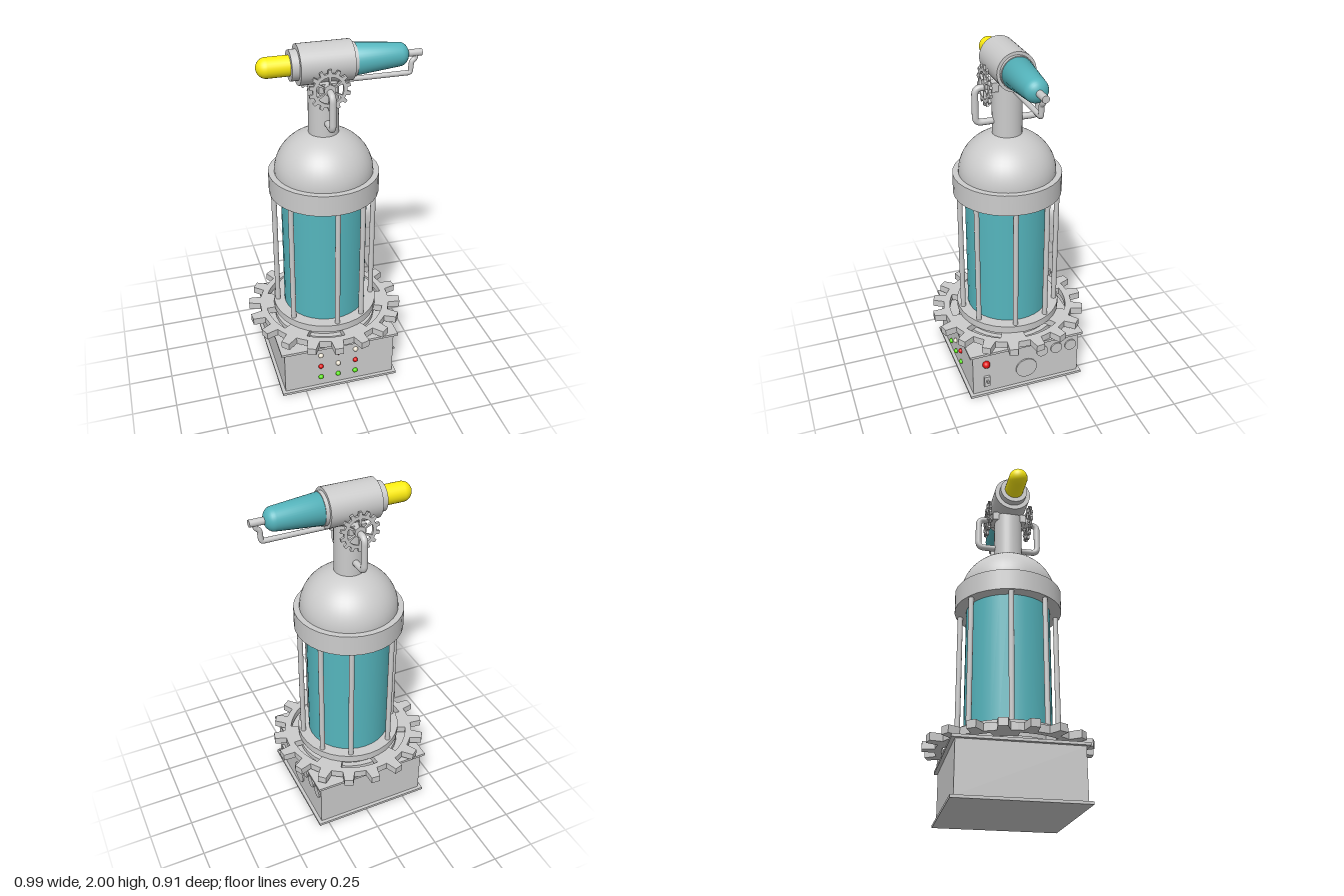
import * as THREE from 'three';

const mat = (color) => new THREE.MeshStandardMaterial({ color });
const GREY = mat(0xcccccc), TEAL = mat(0x55b5bd), YELLOW = mat(0xffee11);
const RED = mat(0xdd1111), GREEN = mat(0x55dd11), CREAM = mat(0xe8e0d0);
const V = (x, y, z) => new THREE.Vector3(x, y, z);

function add(parent, name, geometry, material = GREY, x = 0, y = 0, z = 0) {
  const mesh = new THREE.Mesh(geometry, material);
  mesh.name = name;
  mesh.position.set(x, y, z);
  parent.add(mesh);
  return mesh;
}

// Upright cylinder between two heights
const drum = (parent, name, r, y0, y1, material = GREY, sides = 32) =>
  add(parent, name, new THREE.CylinderGeometry(r, r, y1 - y0, sides), material, 0, (y0 + y1) / 2, 0);

// Cylinder lying along x
const barrel = (parent, name, r, x0, x1) =>
  add(parent, name, new THREE.CylinderGeometry(r, r, x1 - x0, 40).rotateZ(-Math.PI / 2), GREY, (x0 + x1) / 2);

const polar = (r, a) => new THREE.Vector2(r * Math.sin(a), r * Math.cos(a));

// Toothed wheel with ring-segment openings
function gearGeometry({ root, outer, teeth, tip, base, turn = 0, slots, from, span, slotIn, slotOut, depth }) {
  const points = [];
  for (let i = 0; i < teeth; i++) {
    const a = turn - (i / teeth) * Math.PI * 2;
    const wb = base / root / 2, wt = tip / outer / 2, gap = Math.PI / teeth;
    points.push(polar(root, a + wb), polar(outer, a + wt), polar(outer, a - wt), polar(root, a - wb), polar(root, a - gap));
  }
  const shape = new THREE.Shape(points);
  for (let s = 0; s < slots; s++) {
    const a0 = from + (s / slots) * Math.PI * 2;
    const hole = [];
    for (let k = 0; k <= 8; k++) hole.push(polar(slotOut, a0 + (span * k) / 8));
    for (let k = 8; k >= 0; k--) hole.push(polar(slotIn, a0 + (span * k) / 8));
    shape.holes.push(new THREE.Path(hole));
  }
  return new THREE.ExtrudeGeometry(shape, { depth, bevelEnabled: false });
}

// Tube with rounded corners through a list of points
function pipe(parent, name, points, r, bend = 0.03) {
  const path = new THREE.CurvePath();
  let last = points[0];
  for (let i = 1; i < points.length - 1; i++) {
    const p = points[i];
    const a = p.clone().add(points[i - 1].clone().sub(p).setLength(bend));
    const b = p.clone().add(points[i + 1].clone().sub(p).setLength(bend));
    path.add(new THREE.LineCurve3(last, a));
    path.add(new THREE.QuadraticBezierCurve3(a, p, b));
    last = b;
  }
  path.add(new THREE.LineCurve3(last, points[points.length - 1]));
  return add(parent, name, new THREE.TubeGeometry(path, 60, r, 14), GREY);
}

function buildBase() {
  const base = new THREE.Group();
  base.name = 'base';
  add(base, 'housing', new THREE.BoxGeometry(0.66, 0.28, 0.66), GREY, 0, 0.155, 0);
  for (const y of [0.0075, 0.3025])
    add(base, 'edgePlate', new THREE.BoxGeometry(0.7, 0.015, 0.7), GREY, 0, y, 0);

  // Grid of lamps on the front
  const rows = [[CREAM, RED, CREAM], [RED, CREAM, RED], [GREEN, GREEN, GREEN]];
  rows.forEach((row, j) => row.forEach((m, i) =>
    add(base, 'lamp', new THREE.SphereGeometry(0.015, 16, 12), m, -0.115 + i * 0.105, 0.24 - j * 0.082, 0.333)));

  // Dials, bulb and switch on the left side
  const dial = (name, r, y, z) =>
    add(base, name, new THREE.CylinderGeometry(r, r, 0.01, 32).rotateZ(-Math.PI / 2), GREY, 0.333, y, z);
  dial('largeDial', 0.065, 0.125, 0);
  for (const z of [-0.1, -0.19, -0.28]) dial('smallDial', 0.036, 0.222, z);
  add(base, 'bulb', new THREE.SphereGeometry(0.023, 20, 14), RED, 0.336, 0.222, 0.25);
  add(base, 'switchPlate', new THREE.BoxGeometry(0.02, 0.07, 0.035), GREY, 0.335, 0.097, 0.247);
  const lever = add(base, 'switchLever', new THREE.BoxGeometry(0.04, 0.012, 0.012), GREY, 0.355, 0.107, 0.247);
  lever.rotation.z = 0.35;
  return base;
}

function buildTank() {
  const tank = new THREE.Group();
  tank.name = 'tank';
  drum(tank, 'lowerCollar', 0.3, 0.31, 0.337);
  const gear = add(tank, 'baseGear', gearGeometry({
    root: 0.388, outer: 0.456, teeth: 18, tip: 0.05, base: 0.068, turn: 0.083,
    slots: 6, from: -0.07, span: 0.63, slotIn: 0.27, slotOut: 0.352, depth: 0.042,
  }), GREY, 0, 0.335, 0);
  gear.rotation.x = -Math.PI / 2;
  drum(tank, 'upperCollar', 0.305, 0.375, 0.42);
  drum(tank, 'glass', 0.24, 0.42, 1.16, TEAL);

  // Guard rods around the glass
  for (const deg of [0, 34, 80, 122, 158, 212, 262, 305]) {
    const p = polar(0.28, THREE.MathUtils.degToRad(deg));
    add(tank, 'guardRod', new THREE.CylinderGeometry(0.015, 0.015, 0.76, 12), GREY, p.x, 0.79, p.y);
  }
  drum(tank, 'topBand', 0.305, 1.16, 1.28);

  // Domed cap and neck
  const dome = new THREE.SphereGeometry(0.272, 40, 16, 0, Math.PI * 2, 0, Math.PI / 2);
  dome.scale(1, 0.89, 1);
  add(tank, 'dome', dome, GREY, 0, 1.28, 0);
  drum(tank, 'neck', 0.082, 1.48, 1.8);
  return tank;
}

function buildPivot() {
  const pivot = new THREE.Group();
  pivot.name = 'pivot';
  add(pivot, 'axle', new THREE.CylinderGeometry(0.028, 0.028, 0.25, 20).rotateX(Math.PI / 2), GREY, 0, 1.79, 0);
  add(pivot, 'saddle', new THREE.BoxGeometry(0.1, 0.05, 0.2), GREY, 0, 1.79, 0);
  for (const s of [-1, 1]) {
    add(pivot, 'sideGear', gearGeometry({
      root: 0.09, outer: 0.11, teeth: 14, tip: 0.017, base: 0.022,
      slots: 6, from: 0.1, span: 0.85, slotIn: 0.03, slotOut: 0.072, depth: 0.014,
    }), GREY, 0, 1.79, s * 0.124 - 0.007);
    pipe(pivot, 'handle', [V(0, 1.78, s * 0.1), V(0, 1.78, s * 0.178), V(0, 1.588, s * 0.178), V(0, 1.588, s * 0.06)], 0.018, 0.035);
  }
  return pivot;
}

function buildHead() {
  const head = new THREE.Group();
  head.name = 'head';
  head.position.y = 1.895;
  barrel(head, 'barrel', 0.106, -0.18, 0.105);
  barrel(head, 'rearFlange', 0.08, -0.22, -0.18);
  barrel(head, 'frontFlange', 0.09, 0.105, 0.125);
  barrel(head, 'nozzle', 0.019, 0.4, 0.495);

  // Yellow rounded rear tip
  const cap = new THREE.CapsuleGeometry(0.054, 0.13, 12, 28).rotateZ(Math.PI / 2);
  add(head, 'rearTip', cap, YELLOW, -0.271, 0, 0);

  // Tapered teal front with a rounded end
  const profile = [[0, 0.12], [0.086, 0.12], [0.063, 0.368]].map(([r, x]) => new THREE.Vector2(r, x));
  for (let k = 1; k <= 8; k++) {
    const a = (k / 8) * Math.PI / 2;
    profile.push(new THREE.Vector2(Math.max(0, 0.063 * Math.cos(a)), 0.368 + 0.052 * Math.sin(a)));
  }
  add(head, 'taperedFront', new THREE.LatheGeometry(profile, 40).rotateZ(-Math.PI / 2), TEAL);

  // Feed pipe from the barrel's underside up to the nozzle
  pipe(head, 'feedPipe', [V(0.06, -0.108, 0), V(0.438, -0.108, 0), V(0.442, -0.045, 0), V(0.464, -0.03, 0), V(0.464, 0, 0)], 0.014, 0.012);
  return head;
}

export function createModel() {
  const model = new THREE.Group();
  model.name = 'tankTurret';
  const tank = buildTank(), base = buildBase(), pivot = buildPivot(), head = buildHead();
  for (const part of [base, tank, pivot]) part.position.x = -0.04;
  model.add(base, tank, pivot, head);
  return model;
}
